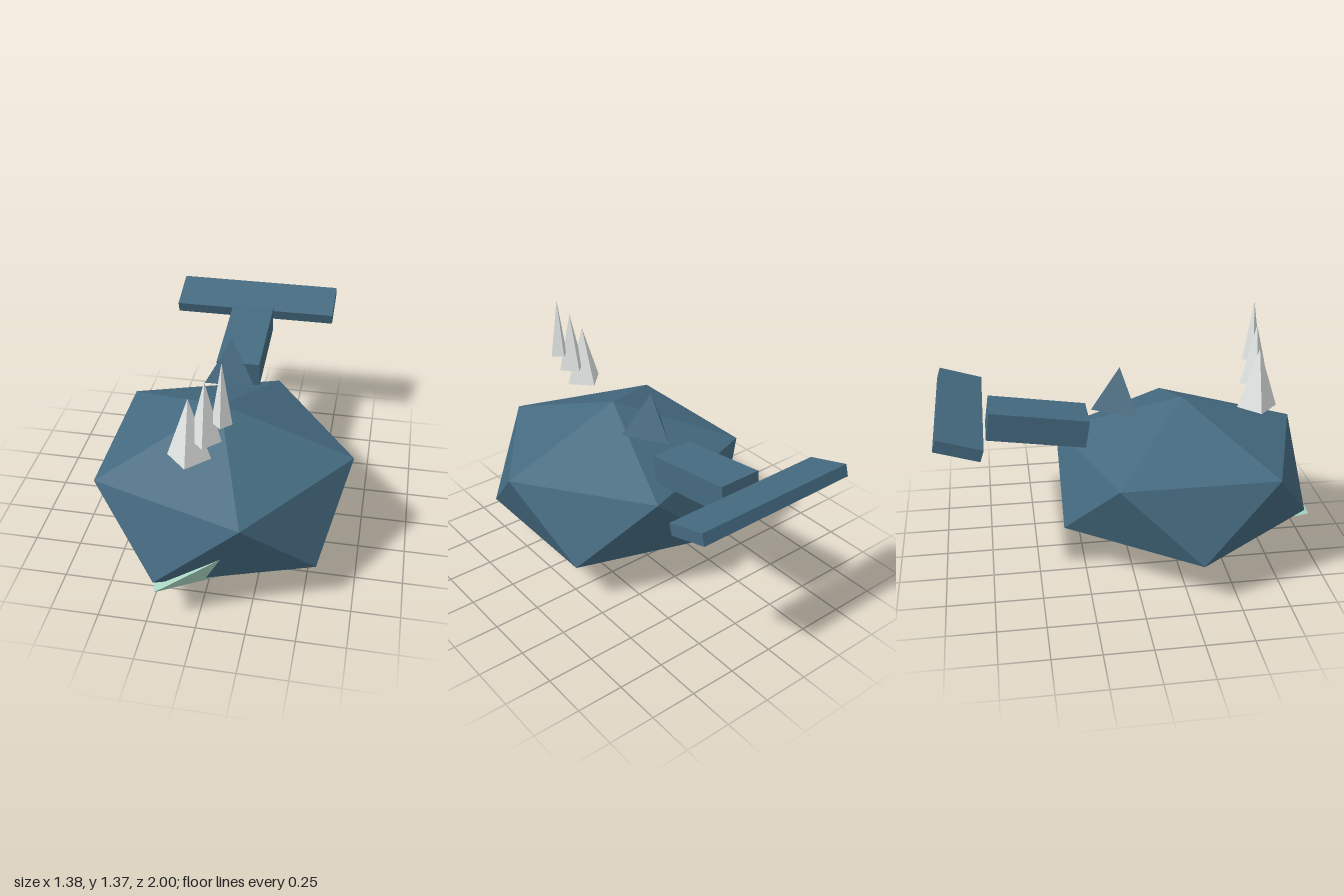
import * as THREE from 'three';
import { ConvexGeometry } from 'three/addons/geometries/ConvexGeometry.js';

export function createModel() {
  const group = new THREE.Group();
  const material = (name, color) => {
    const m = new THREE.MeshStandardMaterial({ color, flatShading: true });
    m.name = name;
    return m;
  };
  const skin = material('slate blue skin', 0x456a80);
  const pale = material('pale mint belly', 0xa8d5c2);
  const water = material('white water', 0xe4e8e6);

  const add = (name, geometry, mat, x = 0, y = 0, z = 0, tilt = 0) => {
    const mesh = new THREE.Mesh(geometry, mat);
    mesh.name = name;
    mesh.position.set(x, y, z);
    mesh.rotation.x = tilt;
    group.add(mesh);
    return mesh;
  };

  // Body: flattened icosahedron standing on a point, two staggered rings of five
  const points = [new THREE.Vector3(0, 0.88, 0.305), new THREE.Vector3(0, 0.005, 0.305)];
  for (let i = 0; i < 10; i++) {
    const a = (i * Math.PI) / 5;
    points.push(new THREE.Vector3(0.69 * Math.cos(a), i % 2 ? 0.246 : 0.634, 0.305 + 0.7 * Math.sin(a)));
  }
  add('body', new ConvexGeometry(points), skin);

  // Belly: faceted wedge that breaks through the lower front of the body
  const belly = [
    [-0.2, 0.213, 1.0], [0.195, 0.455, 0.9], [0.53, 0.24, 0.62],
    [-0.03, 0.1, 0.52], [-0.35, 0.22, 0.4],
  ].map((p) => new THREE.Vector3(...p));
  add('belly', new ConvexGeometry(belly), pale);

  // Dorsal fin: three-sided cone with one edge to the back
  const fin = add('dorsalFin', new THREE.ConeGeometry(0.155, 0.235, 3), skin, 0, 0.9525, -0.03);
  fin.rotation.y = Math.PI;

  // Tail and fluke, both tilted upward to the back
  add('tail', new THREE.BoxGeometry(0.238, 0.152, 0.527), skin, 0, 0.785, -0.475, 0.15);
  add('tailFluke', new THREE.BoxGeometry(0.924, 0.064, 0.237), skin, 0.003, 0.868, -0.878, 0.3);

  // Water spout: three four-sided spikes rising and narrowing to one side
  [0.107, 0.078, 0.05].forEach((radius, i) => {
    add('waterSpike' + (i + 1), new THREE.ConeGeometry(radius, 0.326, 4), water,
      -0.077 + i * 0.08, 0.998 + i * 0.105, 0.7);
  });

  return group;
}
